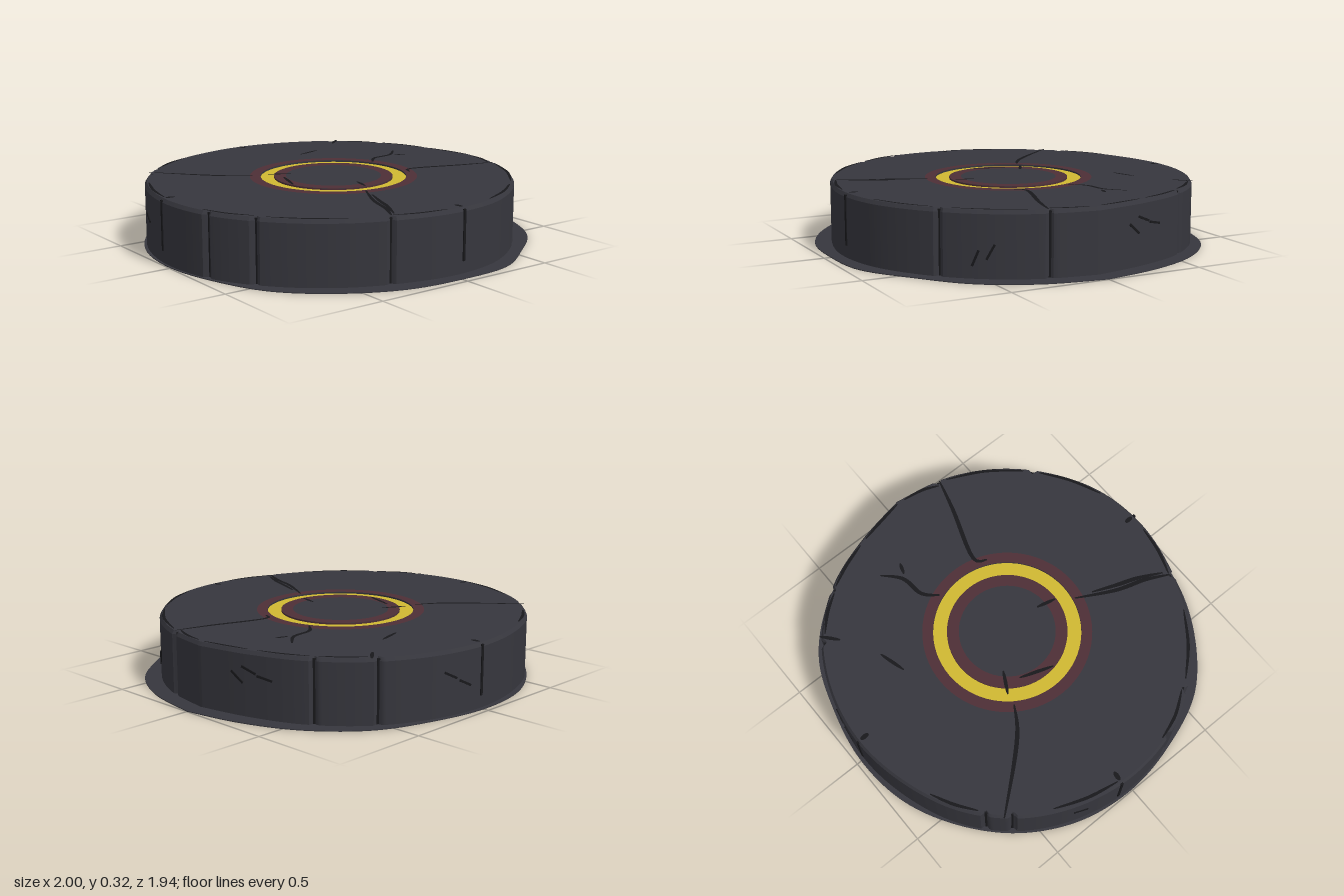
import * as THREE from 'three';
import { toCreasedNormals } from 'three/addons/utils/BufferGeometryUtils.js';

const TOP = 0.322, SEAM = 0.304, CX = -0.017, CZ = -0.018;
const RAD = Math.PI / 180;
const mat = (name, color) => {
  const m = new THREE.MeshStandardMaterial({ color, side: THREE.DoubleSide });
  m.name = name;
  return m;
};

// Outline radii every 18 degrees, turning from +x towards +z
const STONE = [0.915, 0.905, 0.9, 0.9, 0.908, 0.905, 0.9, 0.92, 0.945, 0.975,
  0.985, 0.985, 0.985, 0.975, 0.957, 0.955, 0.95, 0.945, 0.925, 0.9];
const APRON = [1, 0.99, 0.985, 0.96, 0.987, 0.967, 0.985, 0.995, 1.01, 0.99,
  0.995, 1, 0.995, 0.985, 0.985, 0.975, 0.97, 1, 0.998, 0.985];
// Angles of the vertical cracks in the wall
const LONG_CRACKS = [15, 48, 111, 150, 165, 218, 226, 304, 322];
const SHORT_CRACKS = [86, 185, 270];

const smoothLoop = (radii, n) => {
  const pts = [...radii, radii[0]].map((r, i) =>
    new THREE.Vector2(r * Math.cos(i * 18 * RAD), r * Math.sin(i * 18 * RAD)));
  return new THREE.SplineCurve(pts).getPoints(n).slice(0, n);
};

const gap = (p, degrees) => {
  const d = Math.atan2(p.y, p.x) - degrees * RAD;
  return Math.abs(Math.atan2(Math.sin(d), Math.cos(d)));
};

// Stone outline with V-shaped cuts at the long cracks
const notched = smoothLoop(STONE, 480).map((p) => {
  const cut = Math.max(0, ...LONG_CRACKS.map((a) => 0.024 * (1 - gap(p, a) / 0.022)));
  return p.multiplyScalar(1 - cut);
});
const wallPoint = (degrees) =>
  notched.reduce((best, p) => (gap(p, degrees) < gap(best, degrees) ? p : best));

// Extrudes a plan outline downward from y = top
function slab(points, top, depth, holeRadius) {
  const shape = new THREE.Shape(points);
  if (holeRadius) {
    shape.holes.push(new THREE.Path().absarc(CX, CZ, holeRadius, 0, Math.PI * 2, true));
  }
  const g = new THREE.ExtrudeGeometry(shape, { depth, bevelEnabled: false, curveSegments: 64 });
  return g.rotateX(Math.PI / 2).translate(0, top, 0);
}

// Flat tapered ribbon facing up, through x, z pairs
function ribbon(pts, width) {
  const curve = new THREE.SplineCurve(pts.map(([x, z]) => new THREE.Vector2(x, z)));
  const n = 16, pos = [], idx = [];
  for (let i = 0; i <= n; i++) {
    const p = curve.getPoint(i / n), t = curve.getTangent(i / n);
    const w = width * Math.sin(Math.PI * (0.1 + 0.8 * i / n)) / 2;
    pos.push(p.x + t.y * w, TOP + 0.002, p.y - t.x * w, p.x - t.y * w, TOP + 0.002, p.y + t.x * w);
    if (i < n) idx.push(2 * i, 2 * i + 1, 2 * i + 2, 2 * i + 1, 2 * i + 3, 2 * i + 2);
  }
  const g = new THREE.BufferGeometry();
  g.setAttribute('position', new THREE.Float32BufferAttribute(pos, 3));
  g.setIndex(idx);
  g.computeVertexNormals();
  return g;
}

export function createModel() {
  const group = new THREE.Group();
  const stone = mat('dark stone', 0x36363d);
  const crackMat = mat('crack black', 0x18181b);
  const yellow = mat('glowing yellow', 0xd0b832);
  const red = mat('dull red glow', 0x4d2f36);
  const add = (name, geometry, material) => {
    const m = new THREE.Mesh(geometry, material);
    m.name = name;
    group.add(m);
    return m;
  };

  // Ground apron and main stone drum
  add('groundApron', slab(smoothLoop(APRON, 150), 0.004, 0.004), stone);
  add('stoneBody', toCreasedNormals(slab(notched, SEAM, SEAM - 0.004), 0.5), stone);

  // Top layer with a worn rim and a round groove
  const cap = slab(notched, TOP, TOP - SEAM, 0.375);
  const p = cap.attributes.position;
  for (let i = 0; i < p.count; i++) {
    if (p.getY(i) > TOP - 0.001 && Math.hypot(p.getX(i), p.getZ(i)) > 0.6) {
      p.setXYZ(i, p.getX(i) * 0.988, TOP, p.getZ(i) * 0.988);
    }
  }
  add('stoneTop', toCreasedNormals(cap, 0.4), stone);

  // Centre island with a red edge
  add('centreIsland', new THREE.CylinderGeometry(0.305, 0.305, TOP - SEAM, 64)
    .translate(CX, (TOP + SEAM) / 2, CZ), [red, stone, stone]);

  // Glowing ring and the halos beside it
  const flatRing = (name, inner, outer, y, material) => add(name,
    new THREE.RingGeometry(inner, outer, 72).rotateX(-Math.PI / 2).translate(CX, y, CZ), material);
  flatRing('glowRing', 0.3, 0.38, 0.314, yellow);
  flatRing('outerHalo', 0.375, 0.43, TOP + 0.001, red);
  flatRing('innerHalo', 0.245, 0.305, TOP + 0.001, red);

  // Main cracks running from the ring to the rim
  [
    [[-0.75, -0.64], [-0.57, -0.43], [-0.45, -0.31], [-0.34, -0.24]],
    [[0.35, -0.16], [0.42, -0.23], [0.54, -0.25], [0.63, -0.33]],
    [[0.35, 0.15], [0.41, 0.1], [0.68, 0.19], [0.86, 0.24]],
    [[-0.1, 0.36], [-0.2, 0.55], [-0.25, 0.7], [-0.31, 0.82]],
    [[-0.13, 0.45], [-0.18, 0.57], [-0.22, 0.68], [-0.28, 0.8]],
  ].forEach((pts) => add('mainCrack', ribbon(pts, 0.022), crackMat));

  // Small cracks and chips
  [
    [[-0.28, -0.23], [-0.17, -0.17]],
    [[-0.015, 0.18], [-0.04, 0.28]],
    [[-0.31, 0.04], [-0.25, -0.13]],
    [[0.15, -0.55], [0.29, -0.59]],
    [[0.56, -0.23], [0.62, -0.21]],
    [[0.48, -0.7], [0.56, -0.77]],
  ].forEach((pts) => add('smallCrack', ribbon(pts, 0.018), crackMat));

  // Worn dark seams following the rim between two angles
  [[2, 15], [18, 45], [50, 73], [92, 110], [124, 147], [151, 167], [186, 206], [228, 243],
    [307, 321], [323, 340], [343, 359]].forEach(([from, to]) => {
    const pts = [0, 0.5, 1].map((t) =>
      wallPoint(from + (to - from) * t).clone().multiplyScalar(0.98).toArray());
    add('rimSeam', ribbon(pts, 0.016), crackMat);
  });

  // Dark strips set into the wall; tilt leans the strip sideways
  const wallMark = (name, degrees, y, width, height, tilt) => {
    const at = wallPoint(degrees);
    const m = add(name, new THREE.BoxGeometry(width, height, 0.009), crackMat);
    m.position.set(at.x, y, at.y);
    m.rotation.set(0, Math.PI / 2 - degrees * RAD, tilt, 'YXZ');
  };
  LONG_CRACKS.forEach((a) => wallMark('wallCrack', a, 0.16, 0.014, 0.31, 0));
  SHORT_CRACKS.forEach((a) => {
    wallMark('wallCrack', a, 0.19, 0.014, 0.25, 0);
    const at = wallPoint(a);
    const [outer, inner] = [0.98, 0.93].map((s) => [at.x * s, at.y * s]);
    add('rimNick', ribbon([outer, inner], 0.024), crackMat);
  });

  // Scratches on the wall
  [[342, 0.23, 1.2], [337, 0.2, 1.35], [346, 0.19, 0.9], [37, 0.1, -0.4], [32, 0.13, -0.5],
    [282, 0.2, 1.1], [277, 0.15, 1.1], [198, 0.18, 1.2]]
    .forEach(([a, y, tilt]) => wallMark('wallScratch', a, y, 0.011, 0.08, tilt));

  return group;
}
